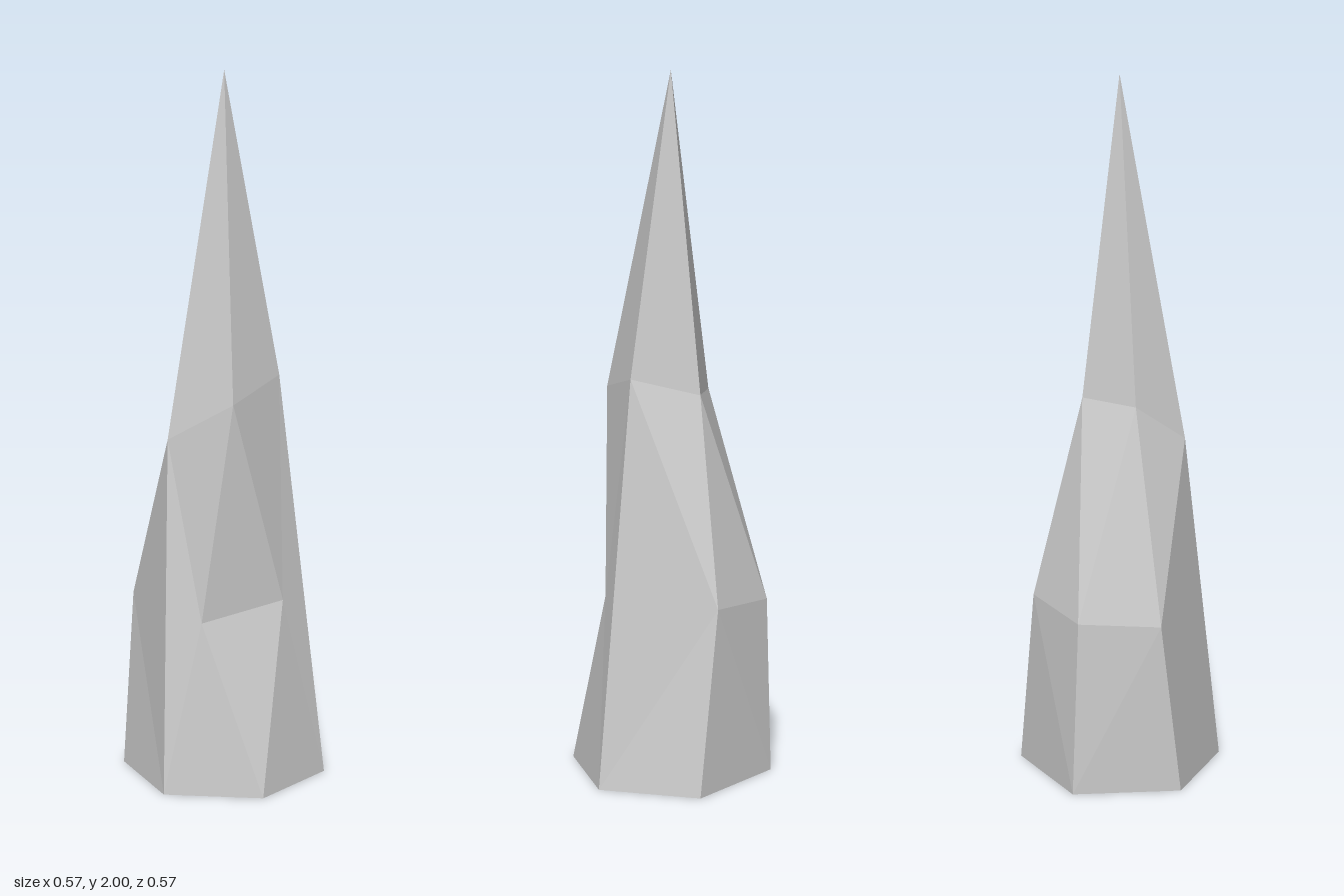
import * as THREE from 'three';

// Corner points [x, y, z], each ring counter-clockwise as seen from above
const base = [
  [0.09, 0, 0.282], [0.282, 0, 0.078], [0.22, 0, -0.195],
  [-0.06, 0, -0.284], [-0.284, 0, -0.075], [-0.195, 0, 0.22],
];
const [p1, p2, p3, p4, p5] = [
  [0.13, 0.49, 0.178], [0.191, 0.53, -0.062], [-0.113, 0.53, -0.227],
  [-0.27, 0.51, -0.06], [-0.218, 0.5, 0.165],
];
const shoulder = [
  [0.174, 1.105, 0.102], [0.12, 1.16, -0.102], [-0.075, 1.11, -0.09],
  [-0.113, 1.1, 0.07], [-0.01, 0.99, 0.19],
];
const apex = [0, 2, 0];
// Two long ridges run past the waist straight up to the shoulder
const waist = [p1, p2, shoulder[1], p3, p4, p5, shoulder[4]];

// Joins two closed loops; each step advances along the lower (l) or upper (u) loop
function band(lower, upper, steps, out) {
  let i = 0, j = 0;
  for (const step of steps) {
    const a = lower[i % lower.length], c = upper[j % upper.length];
    const b = step === 'l' ? lower[++i % lower.length] : upper[++j % upper.length];
    if (a !== b && b !== c && a !== c) out.push(...a, ...b, ...c);
  }
}

export function createModel() {
  const positions = [];
  band(base, waist, 'luluulluulluu', positions);
  band(waist, shoulder, 'llulululullu', positions);
  band(shoulder, [apex], 'lllll', positions);
  // Flat underside
  for (let i = 1; i < base.length - 1; i++) positions.push(...base[0], ...base[i + 1], ...base[i]);

  const geometry = new THREE.BufferGeometry();
  geometry.setAttribute('position', new THREE.Float32BufferAttribute(positions, 3));
  geometry.computeVertexNormals();

  const spike = new THREE.Mesh(
    geometry,
    new THREE.MeshStandardMaterial({ color: 0xcccccc, flatShading: true }),
  );
  spike.name = 'rockSpike';

  const group = new THREE.Group();
  group.name = 'stalagmite';
  group.add(spike);
  return group;
}
